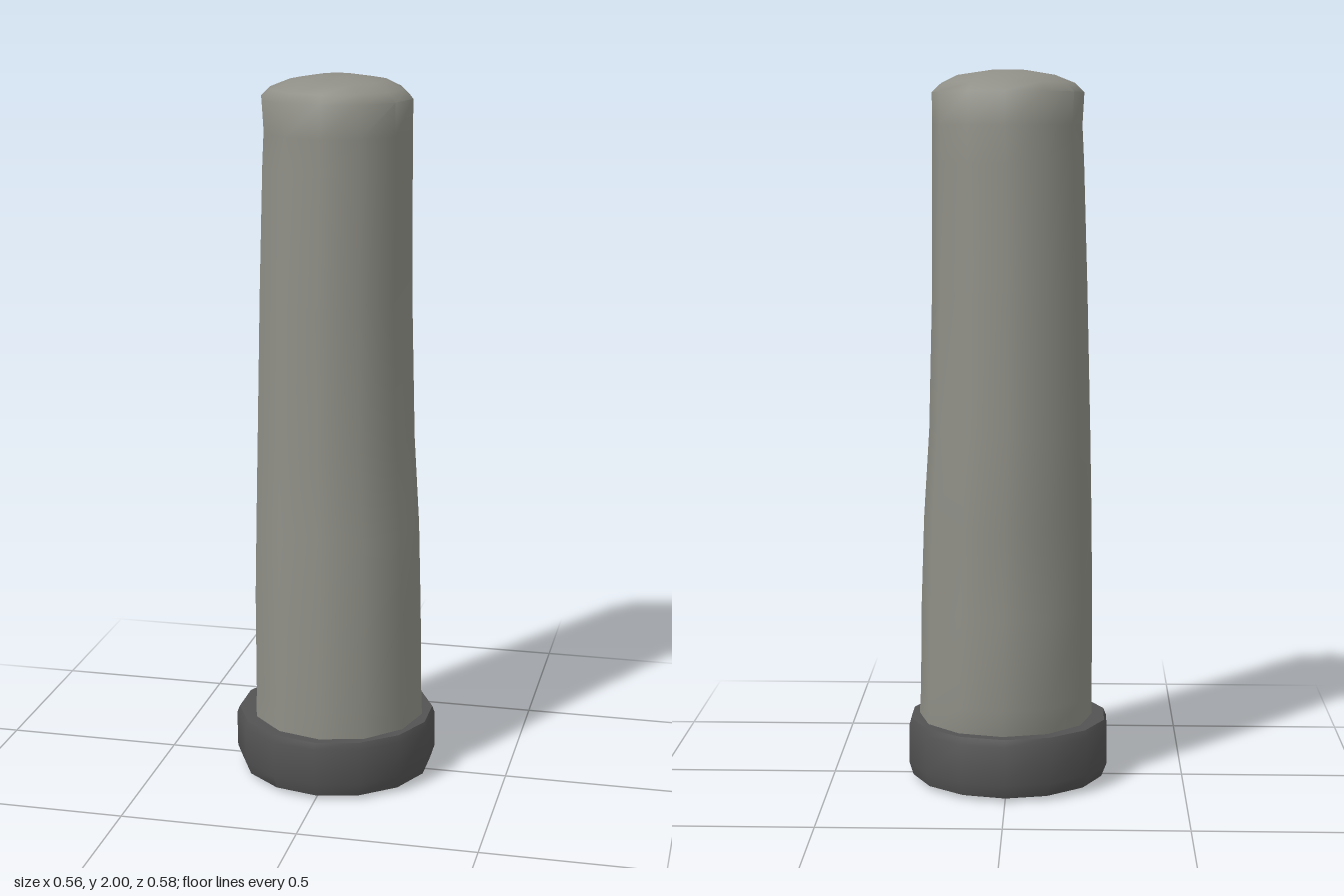
import * as THREE from 'three';
import { toCreasedNormals } from 'three/addons/utils/BufferGeometryUtils.js';

// Closed loft through rings [y, xMin, xMax, zMin, zMax]; both ends are capped.
function loft(rings, sides, crease) {
  const pos = [];
  const index = [];
  for (const [y, x0, x1, z0, z1] of rings) {
    for (let i = 0; i < sides; i++) {
      const a = (i / sides) * Math.PI * 2;
      pos.push((x0 + x1) / 2 + Math.sin(a) * (x1 - x0) / 2, y, (z0 + z1) / 2 + Math.cos(a) * (z1 - z0) / 2);
    }
  }
  const last = (rings.length - 1) * sides;
  for (let r = 0; r < last; r += sides) {
    for (let i = 0; i < sides; i++) {
      const j = (i + 1) % sides;
      index.push(r + i, r + j, r + sides + j, r + i, r + sides + j, r + sides + i);
    }
  }
  for (let i = 1; i < sides - 1; i++) {
    index.push(0, i + 1, i, last, last + i, last + i + 1);
  }
  const geometry = new THREE.BufferGeometry();
  geometry.setAttribute('position', new THREE.Float32BufferAttribute(pos, 3));
  geometry.setIndex(index);
  return toCreasedNormals(geometry, crease);
}

export function createModel() {
  const group = new THREE.Group();
  group.name = 'post';
  const shaftMaterial = new THREE.MeshStandardMaterial({ color: 0x8f8f87 });
  shaftMaterial.name = 'warm grey';
  const baseMaterial = new THREE.MeshStandardMaterial({ color: 0x535353 });
  baseMaterial.name = 'dark grey';

  // Slightly uneven, tapering shaft with a rounded top
  const shaft = new THREE.Mesh(loft([
    [0.16, -0.24, 0.255, -0.235, 0.257],
    [0.25, -0.24, 0.25, -0.25, 0.255],
    [0.5, -0.24, 0.247, -0.232, 0.25],
    [0.75, -0.237, 0.238, -0.238, 0.237],
    [1.0, -0.232, 0.222, -0.235, 0.226],
    [1.4, -0.222, 0.212, -0.226, 0.22],
    [1.75, -0.211, 0.21, -0.215, 0.212],
    [1.85, -0.206, 0.21, -0.212, 0.21],
    [1.94, -0.211, 0.211, -0.2, 0.21],
    [1.965, -0.185, 0.185, -0.182, 0.196],
    [1.987, -0.13, 0.14, -0.13, 0.14],
    [2.0, -0.05, 0.05, -0.05, 0.05],
  ], 12, 0.9), shaftMaterial);
  shaft.name = 'shaft';

  // Wide foot with a softened lower edge
  const base = new THREE.Mesh(loft([
    [0.0, -0.235, 0.235, -0.24, 0.24],
    [0.012, -0.275, 0.275, -0.275, 0.275],
    [0.05, -0.29, 0.287, -0.288, 0.288],
    [0.155, -0.29, 0.287, -0.275, 0.288],
    [0.175, -0.282, 0.28, -0.268, 0.282],
  ], 14, 0.9), baseMaterial);
  base.name = 'base';

  group.add(shaft, base);
  return group;
}
